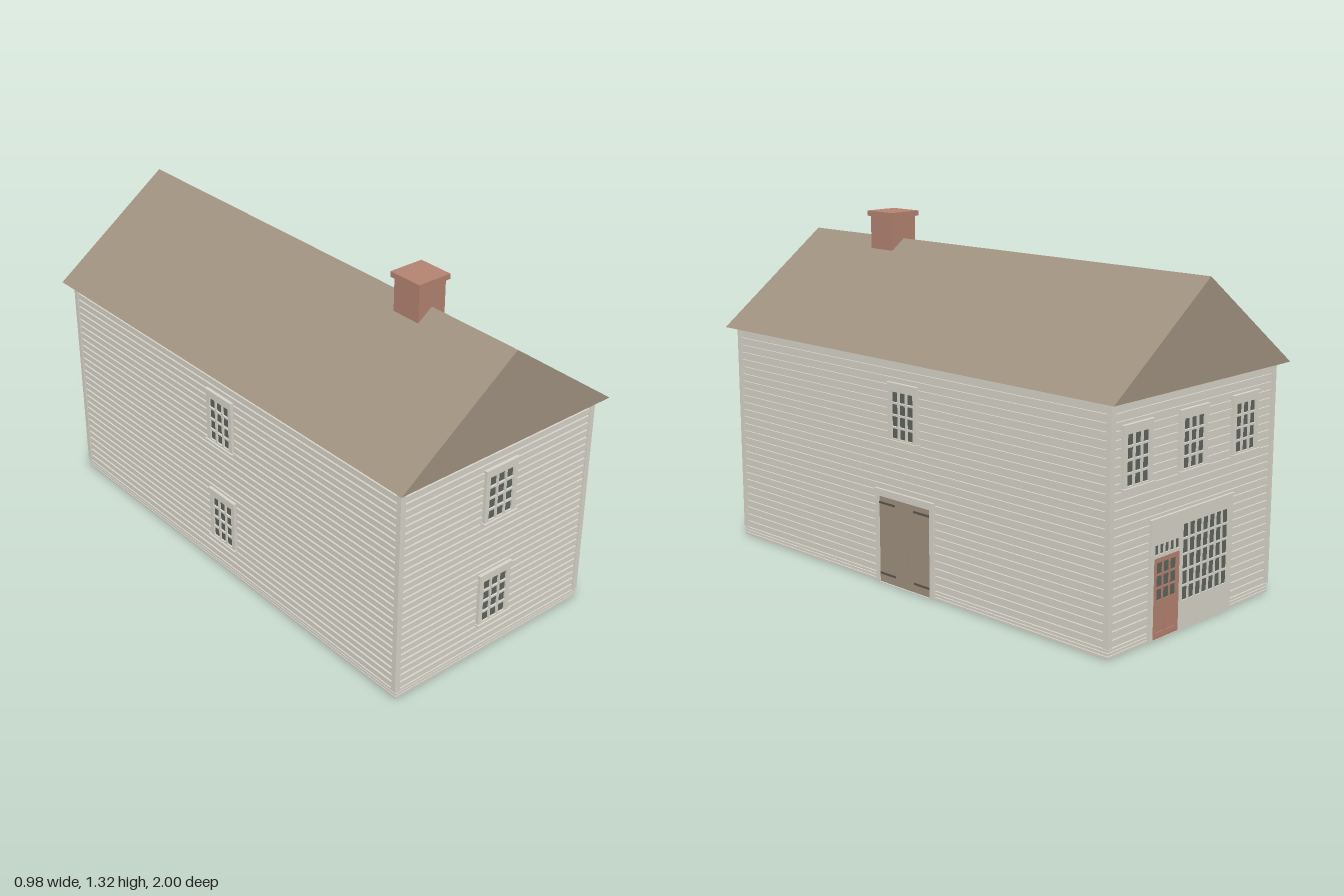
import * as THREE from 'three';
import { mergeGeometries } from 'three/addons/utils/BufferGeometryUtils.js';

const material = (name, color, side = THREE.FrontSide) => {
  const m = new THREE.MeshStandardMaterial({ color, side });
  m.name = name;
  return m;
};

export function createModel() {
  const siding = material('pale siding', 0xd8d5ca, THREE.DoubleSide);
  const brown = material('weathered brown', 0xa09280, THREE.DoubleSide);
  const brick = material('brick red', 0xb48372);
  const glass = material('dark glass', 0x60655f);
  const iron = material('dark iron', 0x5e574e);

  const house = new THREE.Group();
  house.name = 'house';

  const add = (parent, name, geometry, mat) => {
    const mesh = new THREE.Mesh(geometry, mat);
    mesh.name = name;
    parent.add(mesh);
    return mesh;
  };
  // Box given by its limits
  const block = (x0, x1, y0, y1, z0, z1) =>
    new THREE.BoxGeometry(x1 - x0, y1 - y0, z1 - z0)
      .translate((x0 + x1) / 2, (y0 + y1) / 2, (z0 + z1) / 2);
  // Plate on a wall, from just outside the wall sheet to a given depth
  const plate = (x0, x1, y0, y1, depth) => block(x0, x1, y0, y1, 0.001, depth);

  const rect = (Type, x0, x1, y0, y1) => {
    const p = new Type();
    p.moveTo(x0, y0);
    p.lineTo(x1, y0);
    p.lineTo(x1, y1);
    p.lineTo(x0, y1);
    p.closePath();
    return p;
  };
  // Cells of a regular grid of openings separated by bars
  const cells = (x0, x1, y0, y1, cols, rows, bar) => {
    const w = (x1 - x0 - bar * (cols - 1)) / cols;
    const h = (y1 - y0 - bar * (rows - 1)) / rows;
    const out = [];
    for (let i = 0; i < cols; i++) {
      for (let j = 0; j < rows; j++) {
        const x = x0 + i * (w + bar), y = y0 + j * (h + bar);
        out.push([x, x + w, y, y + h]);
      }
    }
    return out;
  };
  // Flat frame pierced by rectangular openings
  const pierced = (outer, openings, depth) => {
    const shape = rect(THREE.Shape, ...outer);
    shape.holes = openings.map(o => rect(THREE.Path, ...o));
    return new THREE.ExtrudeGeometry(shape, { depth: depth - 0.001, bevelEnabled: false }).translate(0, 0, 0.001);
  };

  const HX = 0.445, HZ = 0.955, EAVE = 0.86;

  // Corner boards
  for (const sx of [-1, 1]) {
    for (const sz of [-1, 1]) {
      const post = add(house, 'cornerBoard', block(-0.011, 0.011, 0.036, EAVE, -0.01, 0.01), siding);
      post.position.set(sx * 0.4455, 0, sz * 0.9555);
    }
  }

  // Each wall is an open sheet with boards; its local +z points outward
  const makeWall = (name, half, angle, offset) => {
    const wall = new THREE.Group();
    wall.name = name;
    wall.rotation.y = angle;
    wall.position.set(Math.sin(angle) * offset, 0, Math.cos(angle) * offset);
    add(wall, 'wallSheet', new THREE.PlaneGeometry(half * 2, EAVE).translate(0, EAVE / 2, 0), siding);
    const boards = [];
    for (let i = 0; i < 26; i++) {
      const y = 0.069 + i * 0.0292;
      boards.push(plate(-half + 0.01, half - 0.01, y, y + 0.0205, 0.008));
    }
    boards.push(plate(-half + 0.01, half - 0.01, 0.039, 0.06, 0.008));
    for (const y of [0, 0.012, 0.024]) boards.push(plate(-half - 0.007, half + 0.007, y, y + 0.009, 0.008));
    boards.push(plate(-half + 0.01, half - 0.01, 0.828, EAVE, 0.008));
    add(wall, 'clapboards', mergeGeometries(boards), siding);
    house.add(wall);
    return wall;
  };

  const addWindow = (wall, x, y) => {
    const win = new THREE.Group();
    win.name = 'window';
    win.position.set(x, y, 0);
    add(win, 'windowFrame', pierced([-0.075, 0.075, 0.005, 0.212],
      cells(-0.056, 0.056, 0.012, 0.185, 3, 4, 0.007), 0.018), siding);
    add(win, 'windowPanes', plate(-0.058, 0.058, 0.01, 0.187, 0.011), glass);
    add(win, 'windowSill', plate(-0.08, 0.08, 0, 0.007, 0.025), siding);
    add(win, 'windowCap', plate(-0.079, 0.079, 0.211, 0.218, 0.021), siding);
    wall.add(win);
  };

  const front = makeWall('frontWall', HX, 0, HZ);
  const back = makeWall('backWall', HX, Math.PI, HZ);
  const left = makeWall('leftWall', HZ, Math.PI / 2, HX);
  const right = makeWall('rightWall', HZ, -Math.PI / 2, HX);

  const UP = 0.556, LOW = 0.126;
  addWindow(front, 0, UP);
  addWindow(front, 0, LOW);
  addWindow(right, 0, UP);
  addWindow(right, 0, LOW);
  addWindow(left, 0, UP);
  for (const x of [-0.325, -0.027, 0.27]) addWindow(back, x, UP + 0.005);

  // Double plank door with strap hinges
  const barn = new THREE.Group();
  barn.name = 'plankDoor';
  add(barn, 'doorFrame', pierced([-0.153, 0.153, 0, 0.355], [[-0.134, 0.134, 0.002, 0.335]], 0.016), siding);
  add(barn, 'doorLintel', plate(-0.156, 0.156, 0.353, 0.363, 0.019), siding);
  add(barn, 'doorBacking', plate(-0.135, 0.135, 0.001, 0.336, 0.0095), iron);
  for (const [x0, x1] of cells(-0.134, 0.134, 0, 1, 8, 1, 0.0025)) {
    add(barn, 'doorPlank', plate(x0, x1, 0.003, 0.334, 0.012), brown);
  }
  for (const s of [-1, 1]) {
    for (const y of [0.037, 0.31]) {
      add(barn, 'strapHinge', plate(Math.min(s * 0.134, s * 0.05), Math.max(s * 0.134, s * 0.05),
        y - 0.004, y + 0.004, 0.014), iron);
    }
  }
  left.add(barn);

  // Shop front: pierced panel, many-paned window, transom and panelled door
  const shop = new THREE.Group();
  shop.name = 'shopFront';
  shop.position.x = -0.015;
  const doorway = [-0.212, -0.072, 0.003, 0.29];
  const transom = cells(-0.208, -0.076, 0.302, 0.336, 5, 1, 0.007);
  const display = cells(-0.055, 0.2, 0.105, 0.378, 7, 5, 0.007);
  add(shop, 'shopPanel', pierced([-0.23, 0.228, 0, 0.425], [doorway, ...transom, ...display], 0.015), siding);
  add(shop, 'shopCornice', plate(-0.234, 0.232, 0.42, 0.43, 0.018), siding);
  add(shop, 'transomPanes', plate(-0.21, -0.074, 0.3, 0.338, 0.01), glass);
  add(shop, 'displayPanes', plate(-0.057, 0.202, 0.103, 0.38, 0.01), glass);
  const lights = cells(-0.194, -0.09, 0.14, 0.272, 3, 3, 0.007);
  const panels = cells(-0.194, -0.09, 0.025, 0.122, 2, 1, 0.013);
  add(shop, 'shopDoor', pierced(doorway, [...lights, ...panels], 0.013), brick);
  add(shop, 'shopDoorPanes', plate(-0.196, -0.088, 0.138, 0.274, 0.0095), glass);
  add(shop, 'shopDoorPanels', plate(-0.196, -0.088, 0.023, 0.124, 0.0095), brick);
  back.add(shop);

  // Open-bottomed roof: two slopes and two gable ends
  const RX = 0.488, RIDGE = 1.216;
  const roof = new THREE.Group();
  roof.name = 'roof';
  const pitch = Math.atan2(RIDGE - EAVE, RX);
  for (const s of [-1, 1]) {
    const slope = add(roof, 'roofSlope',
      new THREE.PlaneGeometry(Math.hypot(RX, RIDGE - EAVE), 2).rotateX(-Math.PI / 2), brown);
    slope.rotation.z = -s * pitch;
    slope.position.set(s * RX / 2, (EAVE + RIDGE) / 2, 0);
    const gable = new THREE.Shape();
    gable.moveTo(-RX, EAVE);
    gable.lineTo(RX, EAVE);
    gable.lineTo(0, RIDGE);
    gable.closePath();
    const end = add(roof, 'gableEnd', new THREE.ShapeGeometry(gable), brown);
    end.position.z = s;
    end.rotation.y = s > 0 ? 0 : Math.PI;
  }
  house.add(roof);

  // Chimney with a projecting cap
  const chimney = new THREE.Group();
  chimney.name = 'chimney';
  chimney.position.z = 0.541;
  add(chimney, 'chimneyShaft', block(-0.061, 0.061, 1.172, 1.302, -0.061, 0.061), brick);
  add(chimney, 'chimneyCap', block(-0.071, 0.071, 1.3, 1.32, -0.071, 0.071), brick);
  house.add(chimney);

  return house;
}
